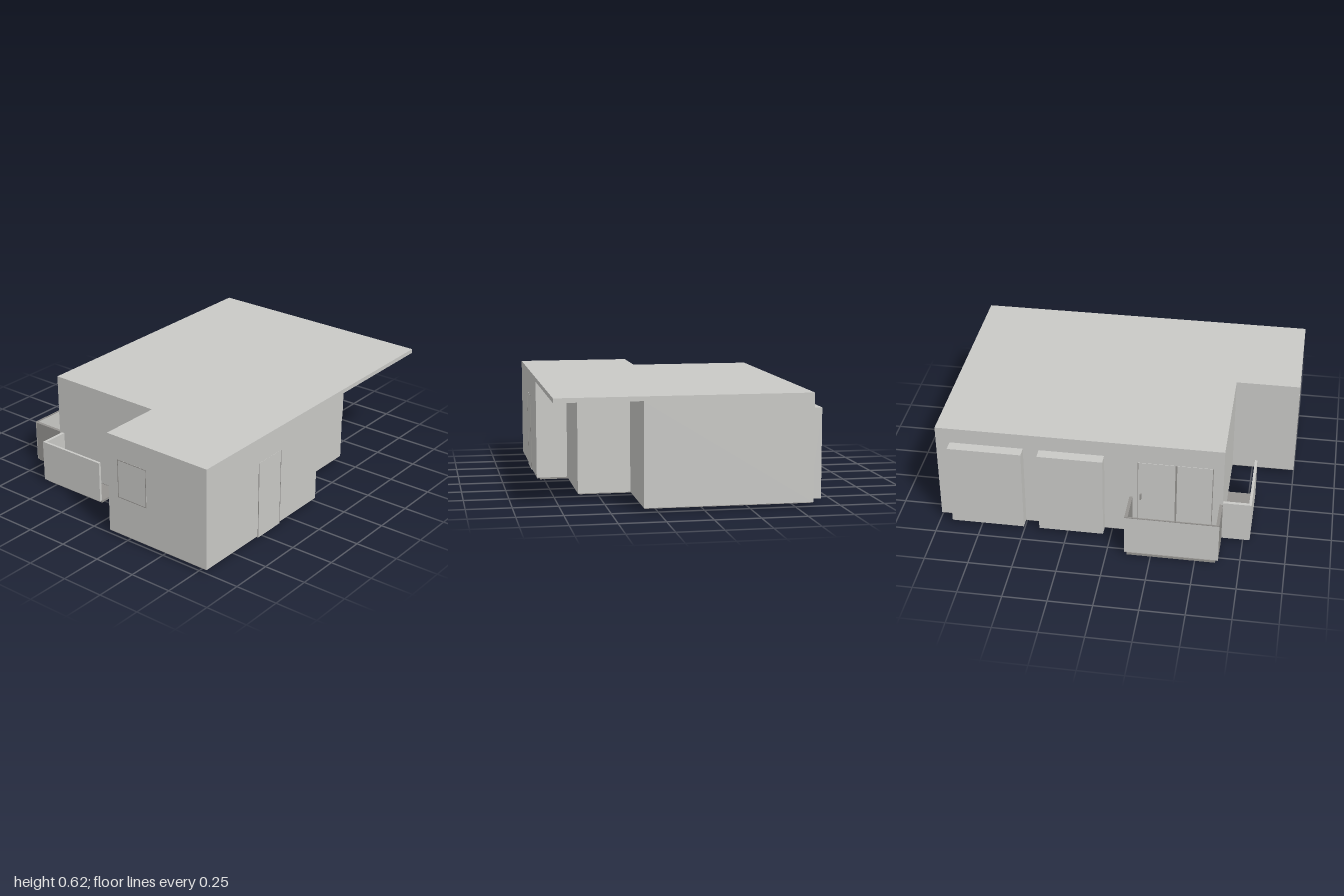
import * as THREE from 'three';

export function createModel() {
  const model = new THREE.Group();
  model.name = 'house';
  const light = new THREE.MeshStandardMaterial({ color: 0xc9c9c6 });
  light.name = 'light grey';
  const dark = new THREE.MeshStandardMaterial({ color: 0x959390 });
  dark.name = 'dark grey';

  function add(name, geometry, material, parent = model) {
    const mesh = new THREE.Mesh(geometry, material);
    mesh.name = name;
    parent.add(mesh);
    return mesh;
  }

  // Box given by its limits on each axis
  function box(name, [x0, x1], [y0, y1], [z0, z1], material, parent) {
    const geometry = new THREE.BoxGeometry(x1 - x0, y1 - y0, z1 - z0);
    geometry.translate((x0 + x1) / 2, (y0 + y1) / 2, (z0 + z1) / 2);
    return add(name, geometry, material, parent);
  }

  // Upright prism from an outline of [x, z] points
  function prism(name, outline, y0, y1, material) {
    const shape = new THREE.Shape(outline.map(([x, z]) => new THREE.Vector2(x, -z)));
    const geometry = new THREE.ExtrudeGeometry(shape, { depth: y1 - y0, bevelEnabled: false });
    geometry.rotateX(-Math.PI / 2);
    geometry.translate(0, y0, 0);
    return add(name, geometry, material);
  }

  // Main storey: stepped front, notch at the back right
  prism('floorSlab', [
    [-0.98, 0.78], [-0.015, 0.78], [-0.015, 0.605], [0.49, 0.605], [0.49, 0.3],
    [0.955, 0.3], [0.955, -0.58], [-0.605, -0.58], [-0.605, 0.14], [-0.98, 0.14],
  ], 0.01, 0.025, dark);
  prism('outerWalls', [
    [-1, 0.8], [0, 0.8], [0, 0.62], [0.53, 0.62], [0.53, 0.325],
    [1, 0.325], [1, -0.6], [-0.63, -0.6], [-0.63, 0.12], [-1, 0.12],
  ], 0.023, 0.592, light);
  // Dark soffit under the walls
  prism('wallUnderside', [
    [-0.998, 0.798], [-0.002, 0.798], [-0.002, 0.618], [0.528, 0.618], [0.528, 0.323],
    [0.998, 0.323], [0.998, -0.598], [-0.628, -0.598], [-0.628, 0.122], [-0.998, 0.122],
  ], 0.019, 0.023, dark);
  prism('roofSlab', [
    [-1, 0.8], [1, 0.8], [1, -0.6], [-0.63, -0.6], [-0.63, 0.12], [-1, 0.12],
  ], 0.592, 0.617, light);

  // Front door: flush leaf with a narrow joint on each side
  box('frontDoor', [-0.55, -0.35], [0.012, 0.47], [0.793, 0.801], light);
  for (const x of [-0.552, -0.352]) {
    box('frontDoorJoint', [x, x + 0.004], [0.02, 0.47], [0.797, 0.802], dark);
  }

  // Box bays on the back wall
  for (const [x0, x1] of [[0.04, 0.41], [0.5, 0.92]]) {
    box('backBay', [x0, x1], [0.025, 0.525], [-0.665, -0.6], light);
  }

  // Balcony door and glazing on the back wall
  box('balconyDoor', [-0.36, -0.15], [0.03, 0.5], [-0.603, -0.598], light);
  box('balconyWindow', [-0.57, -0.37], [0.03, 0.5], [-0.603, -0.598], light);
  for (const [x0, x1] of [[-0.152, -0.148], [-0.37, -0.36], [-0.572, -0.568]]) {
    box('balconyDoorJoint', [x0, x1], [0.03, 0.5], [-0.604, -0.599], dark);
  }
  box('balconyDoorHandle', [-0.17, -0.162], [0.25, 0.29], [-0.612, -0.6], dark);

  // Side window on the right wing
  const sideWindow = new THREE.Group();
  sideWindow.name = 'sideWindow';
  model.add(sideWindow);
  box('pane', [-1, -0.998], [0.25, 0.48], [0.19, 0.39], light, sideWindow).position.x = -0.001;
  for (const z of [0.19, 0.386]) {
    box('frameSide', [-1.002, -0.998], [0.25, 0.48], [z, z + 0.004], dark, sideWindow);
  }
  for (const y of [0.25, 0.476]) {
    box('frameRail', [-1.002, -0.998], [y, y + 0.004], [0.19, 0.39], dark, sideWindow);
  }

  // Back balcony: dark floor and side panels, light outer parapet
  const backBalcony = new THREE.Group();
  backBalcony.name = 'backBalcony';
  model.add(backBalcony);
  box('floor', [-0.615, -0.115], [0.002, 0.016], [-0.798, -0.58], dark, backBalcony);
  for (const x of [-0.63, -0.12]) {
    box('sidePanel', [x, x + 0.018], [0.016, 0.26], [-0.796, -0.6], dark, backBalcony);
  }
  box('parapet', [-0.63, -0.102], [0.022, 0.262], [-0.8, -0.796], light, backBalcony);
  box('parapetCap', [-0.63, -0.102], [0.26, 0.265], [-0.8, -0.793], dark, backBalcony);
  box('drainCover', [-0.265, -0.22], [0.016, 0.019], [-0.705, -0.66], dark, backBalcony);

  // Side balcony in the notch, open toward the wing
  const sideBalcony = new THREE.Group();
  sideBalcony.name = 'sideBalcony';
  model.add(sideBalcony);
  box('floor', [-0.775, -0.62], [0, 0.014], [-0.565, -0.145], dark, sideBalcony);
  box('parapet', [-0.79, -0.775], [0.014, 0.26], [-0.585, -0.145], light, sideBalcony);
  box('endPanel', [-0.775, -0.63], [0.014, 0.26], [-0.585, -0.565], light, sideBalcony);

  return model;
}
